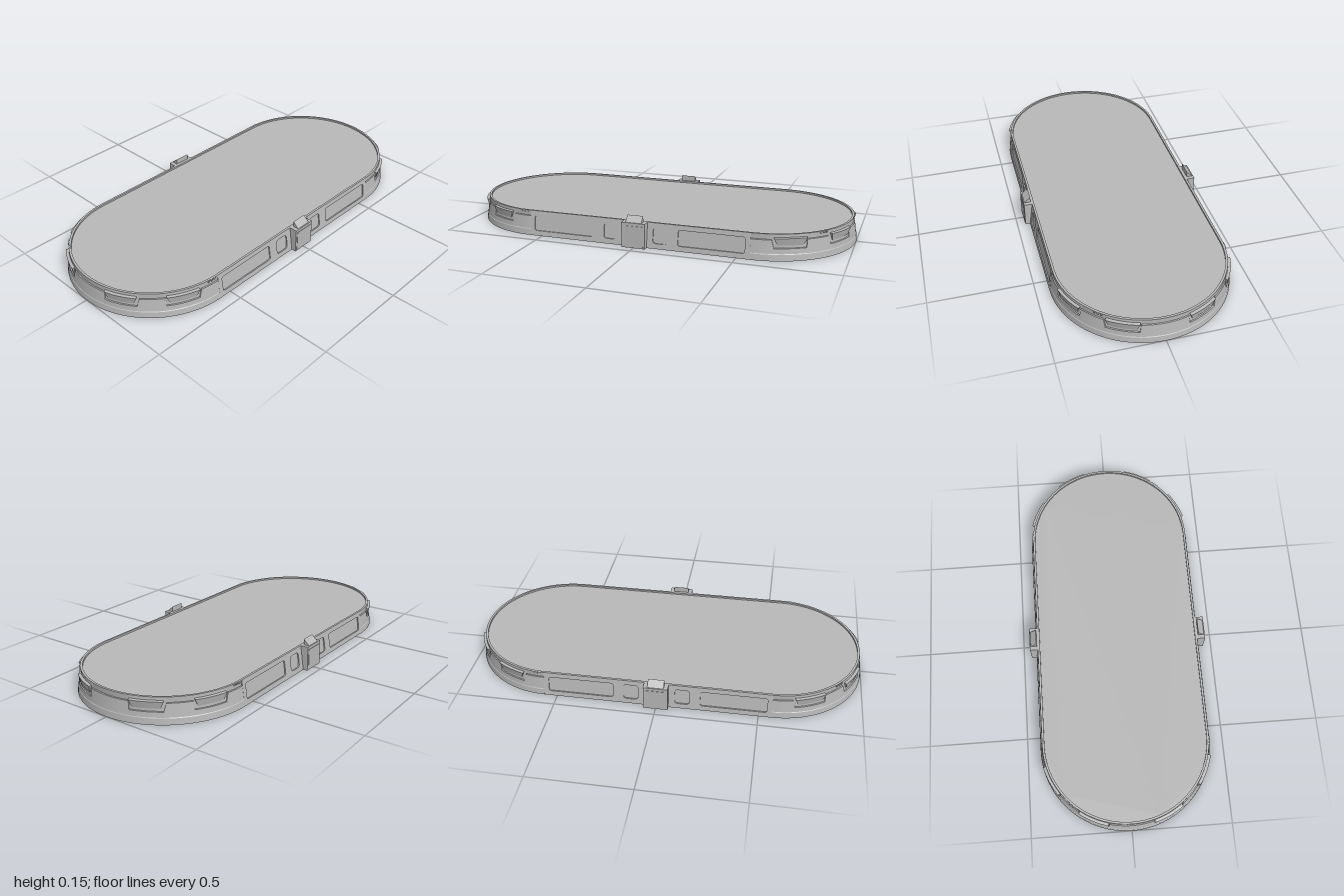
import * as THREE from 'three';
import { mergeGeometries } from 'three/addons/utils/BufferGeometryUtils.js';

const HALF = 0.565;    // half length of the straight sides
const H = 0.125;       // wall height
const RAD = Math.PI / 180;
const FLOOR_Y = 0.116, RIM_IN = 0.406;
const HOODS = [-65, -26, 26, 65];           // angles of the hoods round each end
const radiusAt = (y) => 0.435 - 0.018 * y / H; // the wall leans inward

// Point on the rounded end; angle 0 faces +z
const onEnd = (deg, r, y) => [r * Math.sin(deg * RAD), y, HALF + r * Math.cos(deg * RAD)];

// Surface through columns of points, each listed from bottom to top
function loft(columns) {
  const rows = columns[0].length, index = [];
  for (let i = 0; i < columns.length - 1; i++) {
    for (let j = 0; j < rows - 1; j++) {
      const a = i * rows + j, b = a + rows;
      index.push(a, b, b + 1, a, b + 1, a + 1);
    }
  }
  const g = new THREE.BufferGeometry();
  g.setAttribute('position', new THREE.Float32BufferAttribute(columns.flat(2), 3));
  g.setIndex(index);
  g.computeVertexNormals();
  return g;
}

// Rounded rectangle path centred on (x, y)
function roundedRect(path, x, y, w, h, r) {
  const l = x - w / 2, b = y - h / 2, R = l + w, t = b + h;
  path.moveTo(l + r, b).lineTo(R - r, b).quadraticCurveTo(R, b, R, b + r);
  path.lineTo(R, t - r).quadraticCurveTo(R, t, R - r, t);
  path.lineTo(l + r, t).quadraticCurveTo(l, t, l, t - r);
  path.lineTo(l, b + r).quadraticCurveTo(l, b, l + r, b);
  return path;
}

// Turn a flat side drawing (z, y) to face +x and lean it to the wall slope
function leanToSide(g, offset) {
  g.rotateY(Math.PI / 2);
  const p = g.attributes.position;
  for (let i = 0; i < p.count; i++) p.setX(i, p.getX(i) + radiusAt(p.getY(i)) + offset);
  g.computeVertexNormals();
  return g;
}

// Rounded end wall: skirt, notched ledge, upper wall and rim, each a crisp band
function endWallGeometry() {
  const angles = [];
  for (let a = -90; a <= 90; a += 3) angles.push(a);
  for (const h of HOODS) for (const d of [-12, -10.5, 10.5, 12]) angles.push(h + d);
  angles.sort((a, b) => a - b);
  const columns = [...new Set(angles)].map((a) => {
    const notched = HOODS.some((h) => Math.abs(a - h) <= 10.5);
    const y = notched ? 0.058 : 0.097;
    return [
      [0.435, 0], [radiusAt(0.03) + 0.001, 0.03], [radiusAt(0.033) - 0.001, 0.033],
      [radiusAt(y), y], [radiusAt(y) - 0.005, y + 0.002],
      [0.417, H], [RIM_IN, H], [RIM_IN, FLOOR_Y],
    ].map(([r, py]) => onEnd(a, r, py));
  });
  const bands = [];
  for (let j = 0; j < columns[0].length - 1; j++) bands.push(loft(columns.map((c) => c.slice(j, j + 2))));
  return mergeGeometries(bands);
}

// Hood: wide protruding top, sloping back to a narrower bottom
function hoodGeometry(centre) {
  const columns = [], n = 8;
  for (let i = -1; i <= n + 1; i++) {
    const t = THREE.MathUtils.clamp(i / n, 0, 1) * 2 - 1;
    const closed = i < 0 || i > n;
    columns.push([[0.414, 0.073, 8.6], [0.424, 0.073, 8.6], [0.432, 0.108, 10.5], [0.414, 0.111, 10.5]]
      .map(([r, y, w]) => onEnd(centre + t * w, closed ? 0.414 : r, y)));
  }
  const g = loft(columns).toNonIndexed();
  g.computeVertexNormals();
  return g;
}

export function createModel() {
  const model = new THREE.Group();
  model.name = 'ovalArena';
  const grey = new THREE.MeshStandardMaterial({ color: 0xb8b8b8, side: THREE.DoubleSide });
  grey.name = 'plainGrey';
  const add = (parent, name, geometry) => {
    const m = new THREE.Mesh(geometry, grey);
    m.name = name;
    parent.add(m);
    return m;
  };

  // Floor, just below the rim
  const oval = new THREE.Shape();
  oval.absarc(0, HALF, RIM_IN, 0, Math.PI, false);
  oval.absarc(0, -HALF, RIM_IN, Math.PI, Math.PI * 2, false);
  const floor = add(model, 'floor', new THREE.ShapeGeometry(oval, 40));
  floor.rotation.x = -Math.PI / 2;
  floor.position.y = FLOOR_Y;

  // One half: an end and a long side; the other is the same turned round
  for (const [name, turn] of [['frontHalf', 0], ['backHalf', Math.PI]]) {
    const half = new THREE.Group();
    half.name = name;
    half.rotation.y = turn;
    model.add(half);

    add(half, 'endWall', endWallGeometry());
    for (const a of HOODS) add(half, 'hood', hoodGeometry(a));

    // Two sets of three small studs under the rim
    for (const centre of [-42, 85]) {
      for (const k of [-1, 0, 1]) {
        const a = centre + k * 2.3;
        const stud = add(half, 'stud', new THREE.BoxGeometry(0.009, 0.008, 0.006));
        stud.position.set(...onEnd(a, 0.418, 0.12));
        stud.rotation.y = a * RAD;
      }
    }

    // Long side with recessed panels
    const side = new THREE.Shape();
    side.moveTo(-HALF, 0).lineTo(HALF, 0).lineTo(HALF, H).lineTo(-HALF, H);
    for (const s of [-1, 1]) {
      side.holes.push(roundedRect(new THREE.Path(), s * 0.378, 0.063, 0.325, 0.076, 0.012));
      side.holes.push(roundedRect(new THREE.Path(), s * 0.127, 0.063, 0.074, 0.076, 0.018));
    }
    add(half, 'sideWall', leanToSide(
      new THREE.ExtrudeGeometry(side, { depth: 0.006, bevelEnabled: false, curveSegments: 5 }), -0.006));
    const backing = new THREE.PlaneGeometry(HALF * 2, H).translate(0, H / 2, 0);
    add(half, 'recessedPanels', leanToSide(backing, -0.006));
    const rim = add(half, 'sideRim', new THREE.BoxGeometry(0.01, H - FLOOR_Y, HALF * 2));
    rim.position.set(RIM_IN + 0.005, (H + FLOOR_Y) / 2, 0);

    // Gatehouse block with a sloped cap
    const gate = add(half, 'gateBlock', new THREE.BoxGeometry(0.048, H, 0.12));
    gate.position.set(0.434, H / 2, 0);
    const door = add(half, 'gateDoor', new THREE.BoxGeometry(0.003, 0.108, 0.1));
    door.position.set(0.4585, 0.056, 0);
    const wedge = new THREE.Shape();
    wedge.moveTo(0.422, H).lineTo(0.453, H).lineTo(0.422, 0.154);
    add(half, 'gateCap', new THREE.ExtrudeGeometry(wedge, { depth: 0.08, bevelEnabled: false })
      .translate(0, 0, -0.04));
  }
  return model;
}
